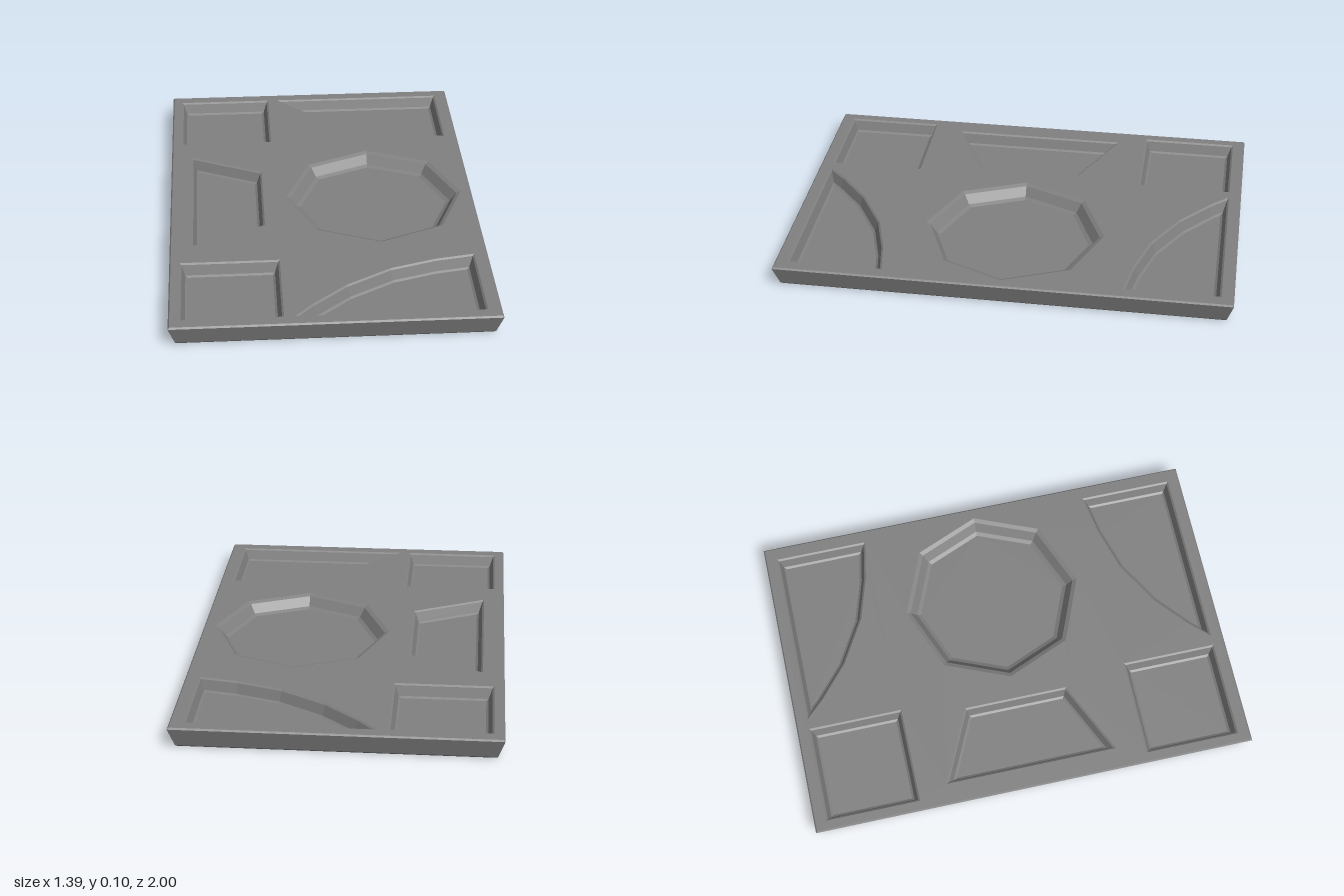
import * as THREE from 'three';
import { mergeGeometries } from 'three/addons/utils/BufferGeometryUtils.js';

const TOP = 0.1;

// Move every side of a counter-clockwise outline inward by d
function inset(points, d) {
  const n = points.length;
  const normal = (a, b) => {
    const l = Math.hypot(b[0] - a[0], b[1] - a[1]);
    return [(a[1] - b[1]) / l, (b[0] - a[0]) / l];
  };
  return points.map((p, i) => {
    const n1 = normal(points[(i + n - 1) % n], p);
    const n2 = normal(p, points[(i + 1) % n]);
    const k = d / (1 + n1[0] * n2[0] + n1[1] * n2[1]);
    return [p[0] + (n1[0] + n2[0]) * k, p[1] + (n1[1] + n2[1]) * k];
  });
}

const toVectors = (points) => points.map((p) => new THREE.Vector2(p[0], p[1]));

// Flat-shaded walls following an outline; profile is a list of [inset, height]
function walls(points, profile) {
  const pos = [];
  const loops = profile.map(([d, h]) => inset(points, d).map((p) => [p[0], p[1], h]));
  for (let k = 0; k + 1 < loops.length; k++) {
    const a = loops[k], b = loops[k + 1];
    for (let i = 0; i < a.length; i++) {
      const j = (i + 1) % a.length;
      pos.push(...a[i], ...a[j], ...b[j], ...a[i], ...b[j], ...b[i]);
    }
  }
  const g = new THREE.BufferGeometry();
  g.setAttribute('position', new THREE.Float32BufferAttribute(pos, 3));
  g.computeVertexNormals();
  return g;
}

// Flat face at a given height, with optional holes
function face(points, height, holes = []) {
  const shape = new THREE.Shape(toVectors(points));
  for (const h of holes) shape.holes.push(new THREE.Path(toVectors(h)));
  const g = new THREE.ShapeGeometry(shape).toNonIndexed();
  g.deleteAttribute('uv');
  return g.translate(0, 0, height);
}

const mirror = (points) => points.map(([x, y]) => [x, -y]).reverse();

export function createModel() {
  const group = new THREE.Group();
  const grey = new THREE.MeshStandardMaterial({ color: 0x808080 });
  const add = (name, geometry) => {
    const mesh = new THREE.Mesh(geometry.rotateX(-Math.PI / 2), grey);
    mesh.name = name;
    group.add(mesh);
  };

  // Pocket outlines, counter-clockwise from above (second number is -z)
  const square = [[-0.65, 0.52], [-0.215, 0.52], [-0.215, 0.945], [-0.65, 0.945]];
  const curved = [[-0.17, 0.945], [-0.09, 0.86], [0.06, 0.73], [0.26, 0.615],
    [0.46, 0.555], [0.635, 0.525], [0.635, 0.945]];
  const trapezoid = [[-0.6, -0.39], [-0.27, -0.235], [-0.27, 0.235], [-0.6, 0.39]];
  const octagon = [];
  for (let i = 0; i < 8; i++) {
    const a = (i * Math.PI) / 4;
    octagon.push([0.24 + 0.405 * Math.cos(a), 0.405 * Math.sin(a)]);
  }

  const steep = [[0, TOP], [0.008, 0.094], [0.023, 0.05], [0.033, 0.044]];
  const sloped = [[0, TOP], [0.018, 0.092], [0.045, 0.052], [0.062, 0.044]];
  const pockets = [
    ['rearSquarePocket', square, steep],
    ['frontSquarePocket', mirror(square), steep],
    ['rearCurvedPocket', curved, steep],
    ['frontCurvedPocket', mirror(curved), steep],
    ['trapezoidPocket', trapezoid, steep],
    ['octagonPocket', octagon, sloped],
  ];
  for (const [name, outline, profile] of pockets) {
    const [depth, floor] = profile[profile.length - 1];
    add(name, mergeGeometries([walls(outline, profile), face(inset(outline, depth), floor)]));
  }

  // Tray body: tapered sides with small bevels, pierced top and plain underside
  const rim = [[-0.695, -1], [0.695, -1], [0.695, 1], [-0.695, 1]];
  add('traySides', walls(rim, [[0.034, 0], [0.026, 0.008], [0, 0.093], [0.006, TOP]]));
  add('trayTop', face(inset(rim, 0.006), TOP, pockets.map((p) => p[1])));
  add('trayUnderside', new THREE.PlaneGeometry(1.322, 1.932).rotateX(Math.PI));

  return group;
}
